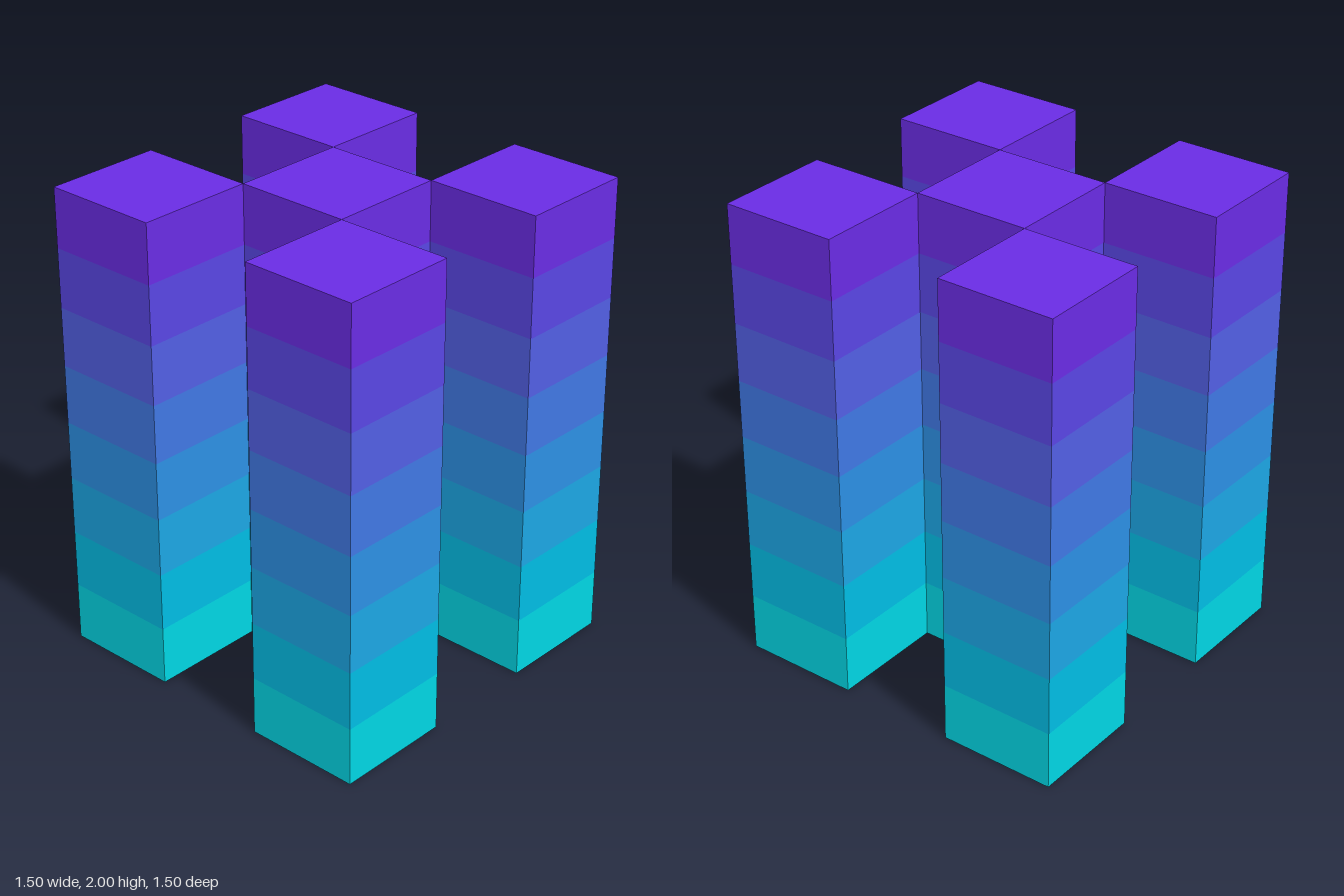
import * as THREE from 'three';

// Colour bands from top to bottom
const BANDS = [
  ['violet', 0x6a2ce4], ['indigo', 0x5946e4], ['periwinkle', 0x525fe4], ['royalBlue', 0x4078e4],
  ['blue', 0x2c90e4], ['skyBlue', 0x1ca6e4], ['cyan', 0x00bde4], ['turquoise', 0x00d6e4],
];
const WIDTH = 0.5, HEIGHT = 2;

// Square column whose sides are divided into one colour group per band
function bandedColumn() {
  const n = BANDS.length;
  const geometry = new THREE.BoxGeometry(WIDTH, HEIGHT, WIDTH, 1, n, 1);
  geometry.clearGroups();
  const rows = BANDS.map((_, i) => i);
  // Box face order: right, left, top, bottom, front, back; side rows run downwards
  [...rows, ...rows, 0, n - 1, ...rows, ...rows].forEach((band, quad) => geometry.addGroup(quad * 6, 6, band));
  return geometry.translate(0, HEIGHT / 2, 0);
}

export function createModel() {
  const model = new THREE.Group();
  model.name = 'columnCluster';
  const materials = BANDS.map(([name, color]) => {
    const material = new THREE.MeshStandardMaterial({ color });
    material.name = name;
    return material;
  });
  const geometry = bandedColumn();

  // Centre column with four corner columns touching it along its edges
  const places = [
    ['centreColumn', 0, 0],
    ['frontLeftColumn', 1, 1], ['frontRightColumn', -1, 1],
    ['backLeftColumn', 1, -1], ['backRightColumn', -1, -1],
  ];
  for (const [name, x, z] of places) {
    const column = new THREE.Mesh(geometry, materials);
    column.name = name;
    column.position.set(x * WIDTH, 0, z * WIDTH);
    model.add(column);
  }
  return model;
}
